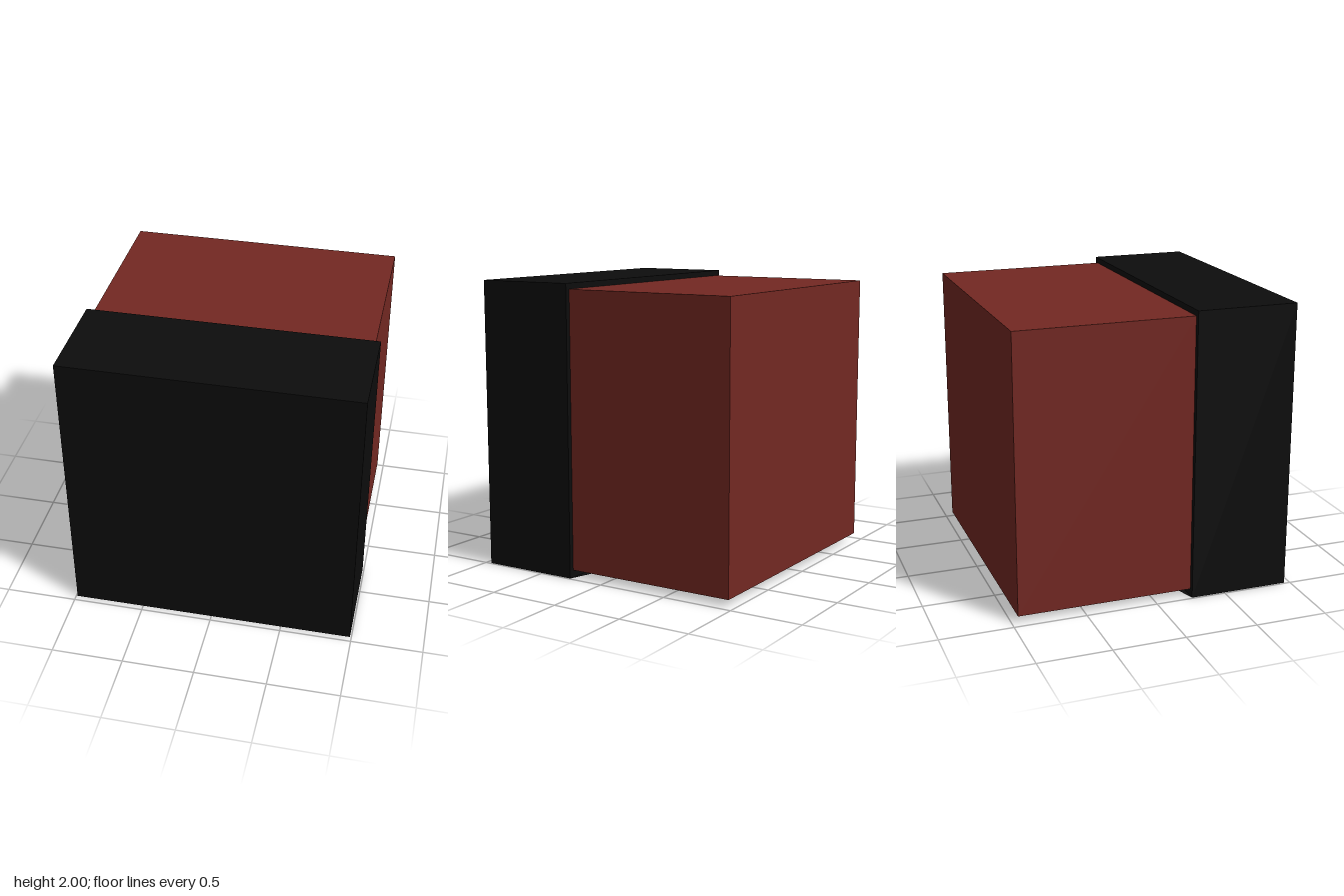
import * as THREE from 'three';

export function createModel() {
  const model = new THREE.Group();
  const black = new THREE.MeshStandardMaterial({ color: 0x0d0d0d });
  const blackSheet = new THREE.MeshStandardMaterial({ color: 0x0d0d0d, side: THREE.DoubleSide });
  const red = new THREE.MeshStandardMaterial({ color: 0x732822 });
  const grey = new THREE.MeshStandardMaterial({ color: 0xcccccc });

  const add = (name, geometry, material, x, y, z) => {
    const mesh = new THREE.Mesh(geometry, material);
    mesh.name = name;
    mesh.position.set(x, y, z);
    model.add(mesh);
    return mesh;
  };

  // Front housing and the smaller case behind it
  add('frontHousing', new THREE.BoxGeometry(1.98, 2, 0.7), black, 0, 1, 0.61);
  add('rearCase', new THREE.BoxGeometry(1.91, 1.91, 1.22), red, 0, 1.005, -0.35);

  // Thin base plate whose rear edge bows out under the case
  const plate = new THREE.Shape([
    [-0.99, 0.3], [0.99, 0.3], [0.99, 0.26], [0.51, 0.1],
    [0, -0.03], [-0.51, 0.1], [-0.99, 0.26],
  ].map(([x, z]) => new THREE.Vector2(x, -z)));
  const plateGeometry = new THREE.ShapeGeometry(plate).rotateX(-Math.PI / 2);
  add('basePlate', plateGeometry, blackSheet, 0, 0, 0);

  // Mirrored angled feet, each with a flattened pad beside it
  const padGeometry = new THREE.SphereGeometry(1, 32, 16).scale(0.05, 0.013, 0.13);
  for (const side of [-1, 1]) {
    const foot = add('foot', new THREE.BoxGeometry(0.61, 0.05, 0.134), black, side * 0.485, 0.025, -0.5);
    foot.rotation.y = side * THREE.MathUtils.degToRad(25);
    add('footPad', padGeometry, grey, side * 0.565, 0.035, -0.33);
  }

  return model;
}
